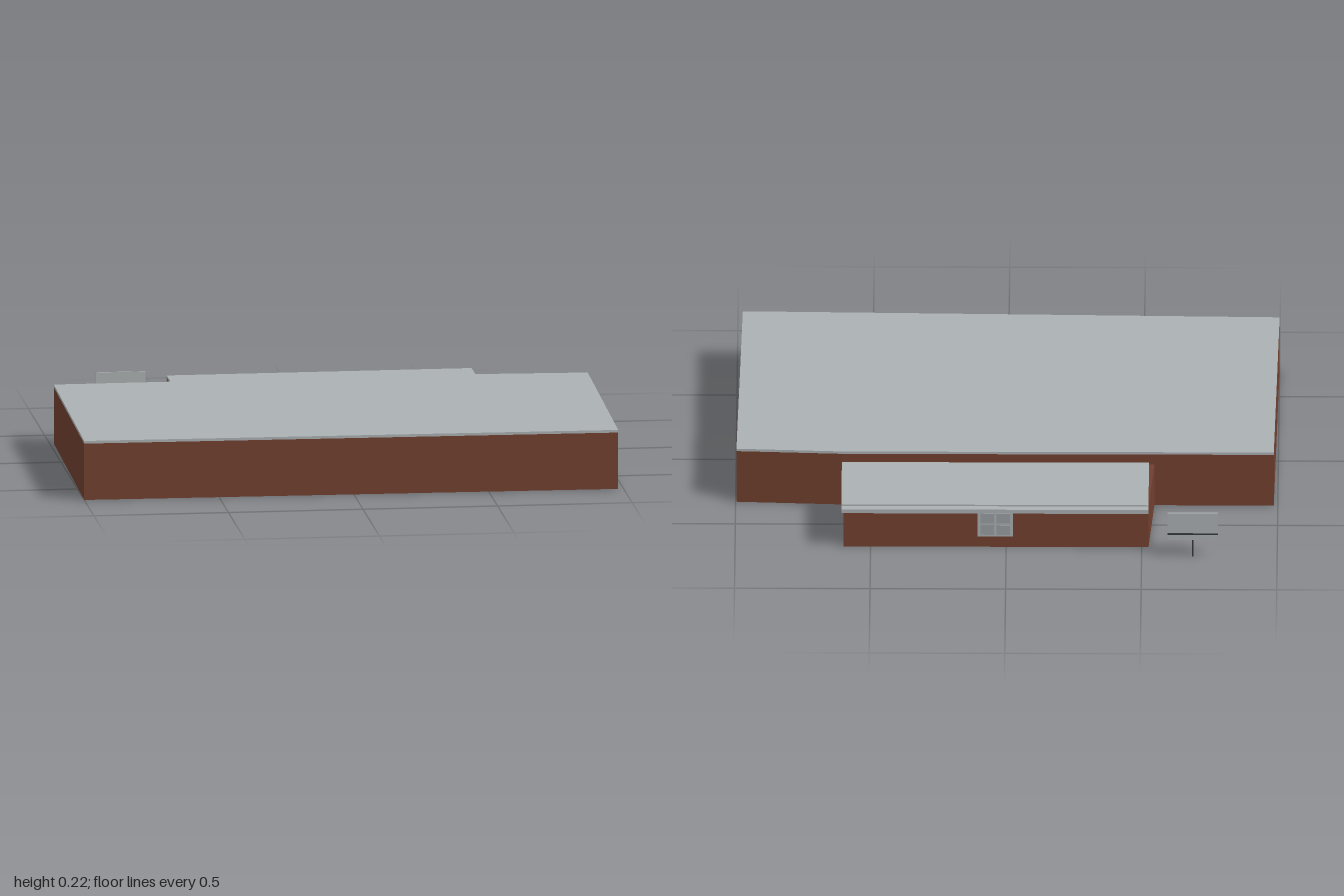
import * as THREE from 'three';

const material = (name, color) => {
  const m = new THREE.MeshStandardMaterial({ color });
  m.name = name;
  return m;
};

export function createModel() {
  const model = new THREE.Group();
  const brick = material('brown brick', 0x71402f);
  const grey = material('roof grey', 0xabb0b2);
  const pane = material('pane grey', 0x9a9fa2);
  const dark = material('dark metal', 0x34373a);

  const add = (parent, name, geometry, mat) => {
    const mesh = new THREE.Mesh(geometry, mat);
    mesh.name = name;
    parent.add(mesh);
    return mesh;
  };
  // Upright prism over a floor plan of [x, z] corners
  const prism = (parent, name, plan, y0, y1, mat) => {
    const shape = new THREE.Shape(plan.map(([x, z]) => new THREE.Vector2(x, -z)));
    const g = new THREE.ExtrudeGeometry(shape, { depth: y1 - y0, bevelEnabled: false });
    g.rotateX(-Math.PI / 2).translate(0, y0, 0);
    return add(parent, name, g, mat);
  };
  // Box given by its limits on each axis
  const box = (parent, name, [x0, x1], [y0, y1], [z0, z1], mat) => {
    const g = new THREE.BoxGeometry(x1 - x0, y1 - y0, z1 - z0);
    g.translate((x0 + x1) / 2, (y0 + y1) / 2, (z0 + z1) / 2);
    return add(parent, name, g, mat);
  };
  const group = (name) => {
    const g = new THREE.Group();
    g.name = name;
    model.add(g);
    return g;
  };

  // Main hall with slightly skewed walls and a thin flat roof
  const hall = group('mainHall');
  const hallPlan = [[-1, 0.705], [0.98, 0.74], [0.997, -0.328], [0.605, -0.347], [-0.985, -0.345]];
  prism(hall, 'hallWalls', hallPlan, 0, 0.212, brick);
  prism(hall, 'hallRoof', hallPlan, 0.212, 0.222, grey);

  // Lower rear annex
  const annex = group('annex');
  prism(annex, 'annexWalls', [[-0.545, -0.34], [0.6, -0.34], [0.6, -0.672], [-0.525, -0.672]], 0, 0.17, brick);
  box(annex, 'annexRoof', [-0.525, 0.608], [0.17, 0.178], [-0.676, -0.34], grey);

  // Gutter along the rear eave, stepping out below the roof
  box(annex, 'eave', [-0.525, 0.608], [0.16, 0.172], [-0.703, -0.664], grey);
  box(annex, 'gutter', [-0.525, 0.608], [0.153, 0.16], [-0.698, -0.672], grey);

  // Four-pane rear window
  const window = group('rearWindow');
  const [wx, wy] = [0.04, 0.098];
  box(window, 'windowFrame', [wx - 0.065, wx + 0.065], [wy - 0.053, wy + 0.053], [-0.677, -0.671], grey);
  for (const sx of [-1, 1]) {
    for (const sy of [-1, 1]) {
      const [cx, cy] = [wx + sx * 0.03, wy + sy * 0.024];
      box(window, 'windowPane', [cx - 0.025, cx + 0.025], [cy - 0.02, cy + 0.02], [-0.679, -0.676], pane);
    }
  }

  // Free-standing sign board on a thin post
  const sign = group('sign');
  box(sign, 'signPost', [-0.692, -0.686], [0, 0.075], [-0.745, -0.741], dark);
  box(sign, 'signBoard', [-0.782, -0.596], [0.07, 0.182], [-0.746, -0.74], grey);
  for (const [z0, z1] of [[-0.7475, -0.7455], [-0.7405, -0.7385]]) {
    box(sign, 'signStripe', [-0.782, -0.596], [0.093, 0.099], [z0, z1], dark);
  }

  return model;
}
